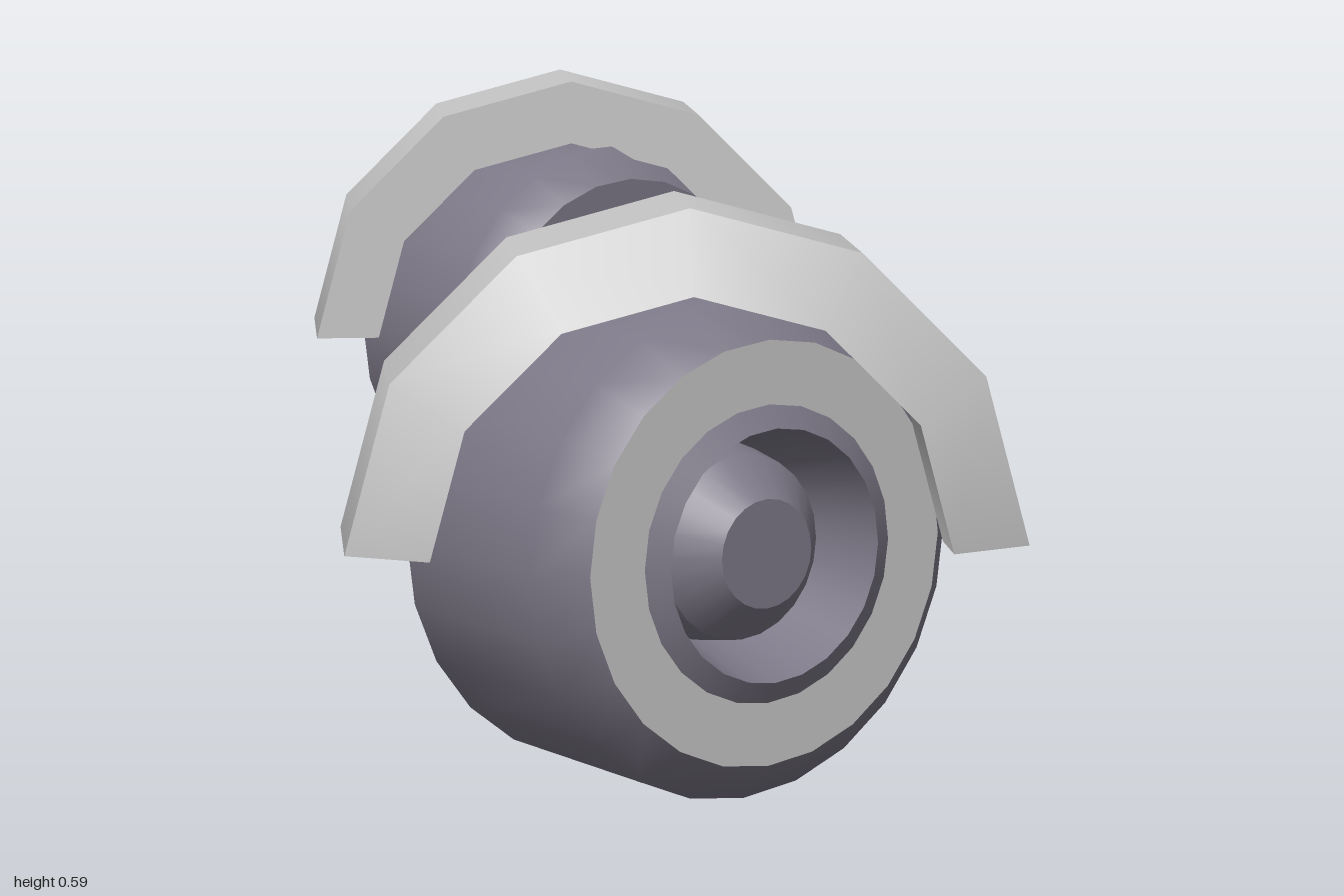
import * as THREE from 'three';

const grey = new THREE.MeshStandardMaterial({ color: 0xc6c6c6, side: THREE.DoubleSide });
grey.name = 'light grey';
const purple = new THREE.MeshStandardMaterial({ color: 0x7d7887 });
purple.name = 'purple grey';

const CENTRE_Y = 0.25;
const AXLE_Z = 0.765;

// Surface of revolution about z from [radius, z] points
function revolve(points, material, name, segments = 24, start = 0, length = Math.PI * 2) {
  const profile = points.map(([r, z]) => new THREE.Vector2(r, z));
  const geometry = new THREE.LatheGeometry(profile, segments, start, length);
  geometry.rotateX(Math.PI / 2);
  const mesh = new THREE.Mesh(geometry, material);
  mesh.name = name;
  return mesh;
}

// Wheel with a rounded tyre, a pale side ring and a sunken hub
function makeWheel() {
  const wheel = new THREE.Group();
  wheel.name = 'wheel';
  wheel.add(
    revolve([[0, -0.15], [0.21, -0.15]], purple, 'innerDisc'),
    revolve([[0.21, -0.15], [0.25, -0.11], [0.25, 0.11], [0.21, 0.15]], purple, 'tyre'),
    revolve([[0.21, 0.15], [0.147, 0.15]], grey, 'sideRing'),
    revolve([[0.147, 0.15], [0.125, 0.162]], purple, 'rimLip'),
    revolve([[0.125, 0.162], [0.1, 0.06]], purple, 'rimRecess'),
    revolve([[0.1, 0.06], [0.092, 0.105]], purple, 'hubBase'),
    revolve([[0.092, 0.105], [0.054, 0.147]], purple, 'hubCone'),
    revolve([[0.054, 0.147], [0, 0.147]], purple, 'hubCap'),
  );
  wheel.position.set(0, CENTRE_Y, AXLE_Z);
  wheel.rotation.y = Math.PI / 6;
  return wheel;
}

// Six-sided half arch swept from a profile, with caps on both ends
function makeFender(profile, capProfile) {
  const fender = new THREE.Group();
  fender.name = 'fender';
  for (let i = 0; i < profile.length - 1; i++) {
    fender.add(revolve([profile[i], profile[i + 1]], grey, 'archPanel', 6, Math.PI / 2, Math.PI));
  }
  for (const side of [-1, 1]) {
    const shape = new THREE.Shape(capProfile.map(([r, z]) => new THREE.Vector2(side * r, z)));
    const cap = new THREE.Mesh(new THREE.ShapeGeometry(shape).rotateX(Math.PI / 2), grey);
    cap.name = 'archEnd';
    fender.add(cap);
  }
  fender.position.y = CENTRE_Y;
  return fender;
}

export function createModel() {
  const model = new THREE.Group();
  model.name = 'wheelsWithFenders';

  // Front: thin shell, open behind, with a solid lip
  const lip = [[0.335, 0.87], [0.254, 0.91], [0.254, 0.84], [0.335, 0.84]];
  const front = new THREE.Group();
  front.name = 'frontWheelSet';
  front.add(makeWheel(), makeFender([[0.335, 0.71], ...lip], lip));

  // Rear: solid arch, the whole set turned to face backwards
  const solid = [[0.335, 0.668], [0.335, 0.875], [0.254, 0.913], [0.254, 0.668]];
  const rear = new THREE.Group();
  rear.name = 'rearWheelSet';
  rear.add(makeWheel(), makeFender([...solid, solid[0]], solid));
  rear.rotation.y = Math.PI;

  model.add(front, rear);
  return model;
}
